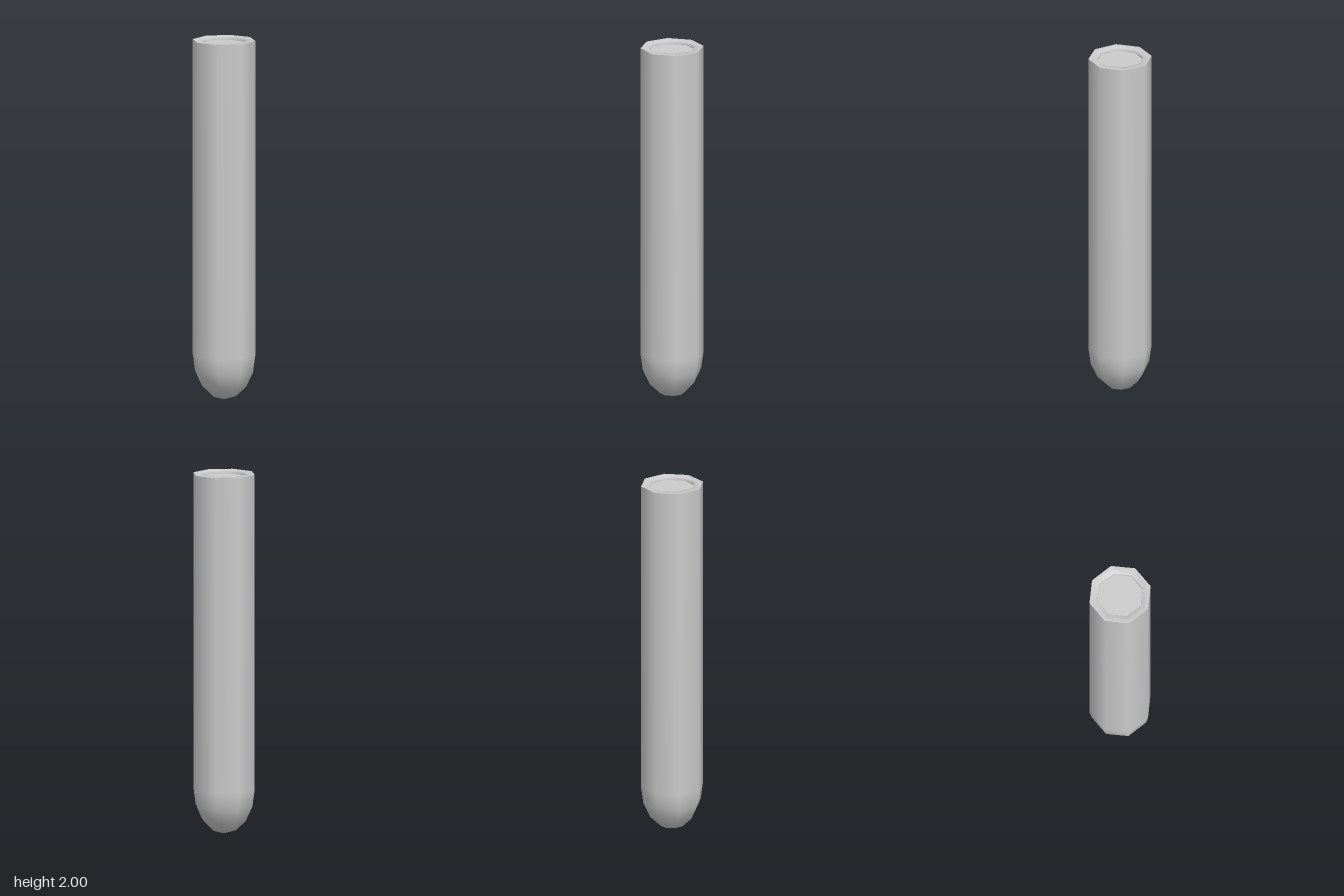
import * as THREE from 'three';

const SIDES = 8, R = 0.175, INNER = 0.13, H = 2, TIP = 0.25, FILL = 1.98;

export function createModel() {
  const group = new THREE.Group();
  const material = new THREE.MeshStandardMaterial({ color: 0xcccccc });

  // Eight-sided lathe part from [radius, height] pairs
  const addLathe = (name, profile) => {
    const points = profile.map(([r, y]) => new THREE.Vector2(r, y));
    const mesh = new THREE.Mesh(new THREE.LatheGeometry(points, SIDES), material);
    mesh.name = name;
    group.add(mesh);
  };

  // Outer wall: rounded tip, then a straight tube
  const outer = [];
  for (let i = 0; i <= 4; i++) {
    const a = (i / 4) * Math.PI / 2;
    outer.push([R * Math.sin(a), TIP * (1 - Math.cos(a))]);
  }
  outer.push([R, H]);
  addLathe('tubeWall', outer);

  // Flat rim turning softly into the inner lip
  addLathe('rim', [[R, H], [INNER + 0.001, H], [INNER - 0.001, FILL]]);

  // Flat surface just below the rim
  const fill = new THREE.Mesh(new THREE.CircleGeometry(INNER - 0.001, SIDES), material);
  fill.name = 'fillSurface';
  fill.rotation.x = -Math.PI / 2;
  fill.position.y = FILL;
  group.add(fill);

  return group;
}
